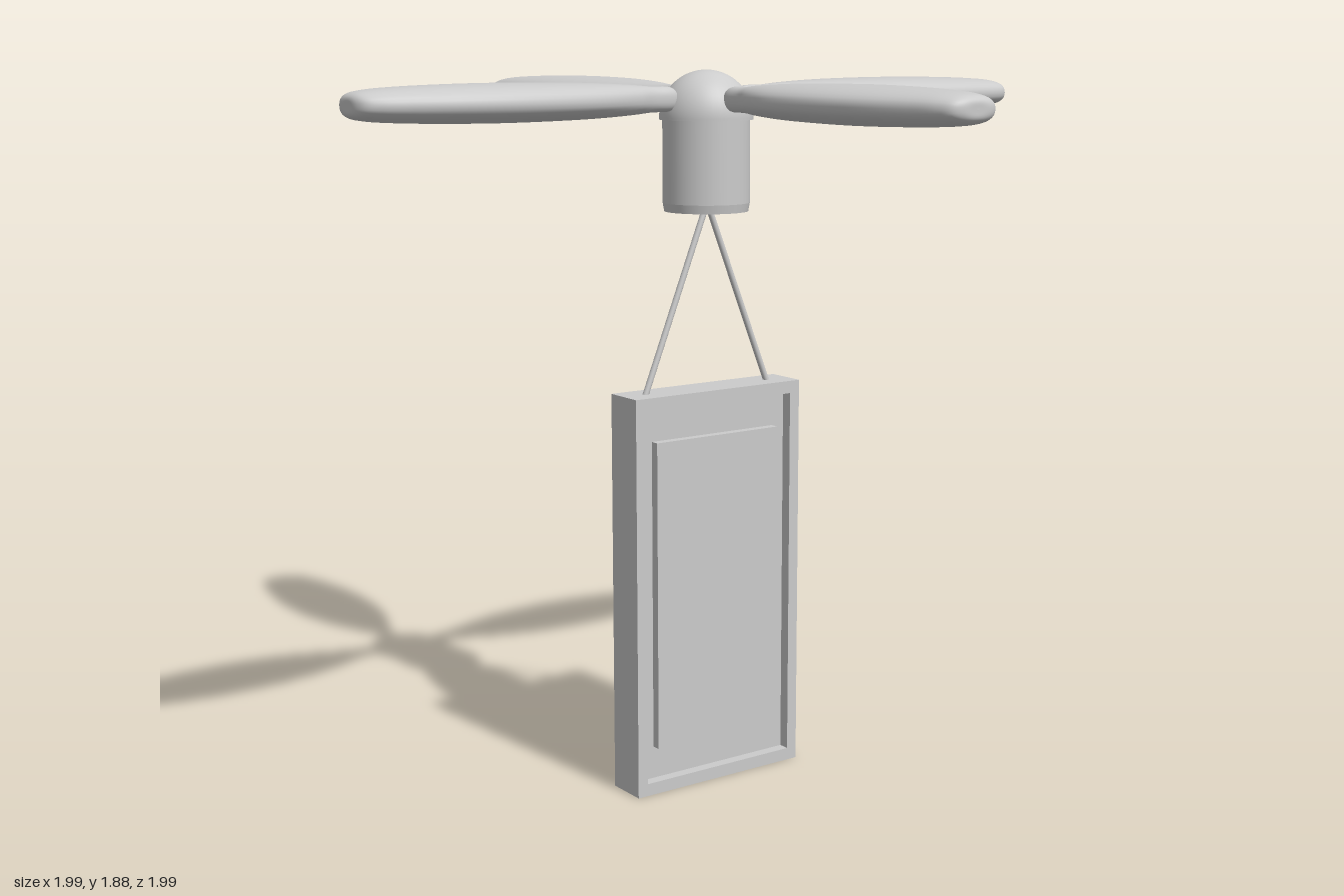
import * as THREE from 'three';

const CX = -0.003, CZ = -0.01; // axis of the rotor
const BLADE_Y = 1.803;

const material = new THREE.MeshStandardMaterial({ color: 0xcccccc });

function add(parent, name, geometry, x = 0, y = 0, z = 0) {
  const mesh = new THREE.Mesh(geometry, material);
  mesh.name = name;
  mesh.position.set(x, y, z);
  parent.add(mesh);
  return mesh;
}

// Blade along +x: rounded cross-sections lofted through [radius, half width, half thickness]
function bladeGeometry() {
  const curve = new THREE.CatmullRomCurve3([
    [0.095, 0, 0], [0.1, 0.018, 0.02], [0.115, 0.025, 0.03], [0.17, 0.03, 0.032],
    [0.23, 0.055, 0.037], [0.35, 0.1, 0.043], [0.48, 0.126, 0.046], [0.62, 0.135, 0.047],
    [0.76, 0.125, 0.045], [0.88, 0.102, 0.041], [0.95, 0.083, 0.036],
    [0.982, 0.065, 0.03], [0.995, 0.04, 0.02], [0.997, 0, 0],
  ].map((p) => new THREE.Vector3(...p)), false, 'centripetal');
  const rings = 65, sides = 32, positions = [], index = [];
  const power = (v) => Math.sign(v) * Math.abs(v) ** 0.85;
  for (let i = 0; i <= rings; i++) {
    const p = curve.getPoint(i / rings);
    for (let j = 0; j < sides; j++) {
      const a = (j / sides) * Math.PI * 2;
      positions.push(p.x, p.z * power(Math.sin(a)), p.y * power(Math.cos(a)));
      if (i === rings) continue;
      const k = (j + 1) % sides;
      const a0 = i * sides + j, a1 = i * sides + k;
      index.push(a0, a0 + sides, a1, a1, a0 + sides, a1 + sides);
    }
  }
  const geometry = new THREE.BufferGeometry();
  geometry.setAttribute('position', new THREE.Float32BufferAttribute(positions, 3));
  geometry.setIndex(index);
  geometry.computeVertexNormals();
  return geometry;
}

// Thin rod between two points
function addRod(parent, name, from, to, radius) {
  const direction = to.clone().sub(from);
  const rod = add(parent, name, new THREE.CylinderGeometry(radius, radius, direction.length(), 12));
  rod.position.copy(from).add(to).multiplyScalar(0.5);
  rod.quaternion.setFromUnitVectors(new THREE.Vector3(0, 1, 0), direction.normalize());
}

export function createModel() {
  const model = new THREE.Group();
  model.name = 'hangingPanelWithRotor';

  // Rotor: four blades around a domed hub
  const rotor = new THREE.Group();
  rotor.name = 'rotor';
  rotor.position.set(CX, 0, CZ);
  model.add(rotor);
  const blade = bladeGeometry();
  for (let i = 0; i < 4; i++) {
    add(rotor, 'blade', blade, 0, BLADE_Y, 0).rotation.y = (i * Math.PI) / 2;
  }
  add(rotor, 'hubDome', new THREE.SphereGeometry(0.12, 40, 16, 0, Math.PI * 2, 0, Math.PI / 2), 0, 1.755, 0);
  add(rotor, 'hubDomeBase', new THREE.CylinderGeometry(0.12, 0.12, 0.006, 40), 0, 1.753, 0);

  // Motor housing below the dome, with a slightly narrowed foot
  add(rotor, 'motorHousing', new THREE.CylinderGeometry(0.112, 0.112, 0.215, 40), 0, 1.6475, 0);
  add(rotor, 'motorFoot', new THREE.CylinderGeometry(0.112, 0.108, 0.022, 40), 0, 1.529, 0);

  // Two rods spreading from the motor to the panel
  for (const side of [1, -1]) {
    addRod(model, side > 0 ? 'leftRod' : 'rightRod',
      new THREE.Vector3(CX + side * 0.004, 1.53, -0.006),
      new THREE.Vector3(CX + side * 0.197, 1.05, -0.006), 0.008);
  }

  // Hanging panel: rim, recessed board and a raised field on both faces
  const panel = new THREE.Group();
  panel.name = 'hangingPanel';
  panel.position.set(CX, 0.53, -0.006);
  model.add(panel);
  const depth = 0.113, recess = 0.03;
  const rim = new THREE.Shape([[-0.261, -0.53], [0.261, -0.53], [0.261, 0.53], [-0.261, 0.53]]
    .map((p) => new THREE.Vector2(...p)));
  rim.holes.push(new THREE.Path([[-0.231, -0.497], [-0.231, 0.497], [0.231, 0.497], [0.231, -0.497]]
    .map((p) => new THREE.Vector2(...p))));
  add(panel, 'panelRim', new THREE.ExtrudeGeometry(rim, { depth, bevelEnabled: false }), 0, 0, -depth / 2);
  add(panel, 'panelBoard', new THREE.BoxGeometry(0.47, 1.0, depth - 2 * recess));
  add(panel, 'panelField', new THREE.BoxGeometry(0.386, 0.82, depth - 0.012));

  return model;
}
